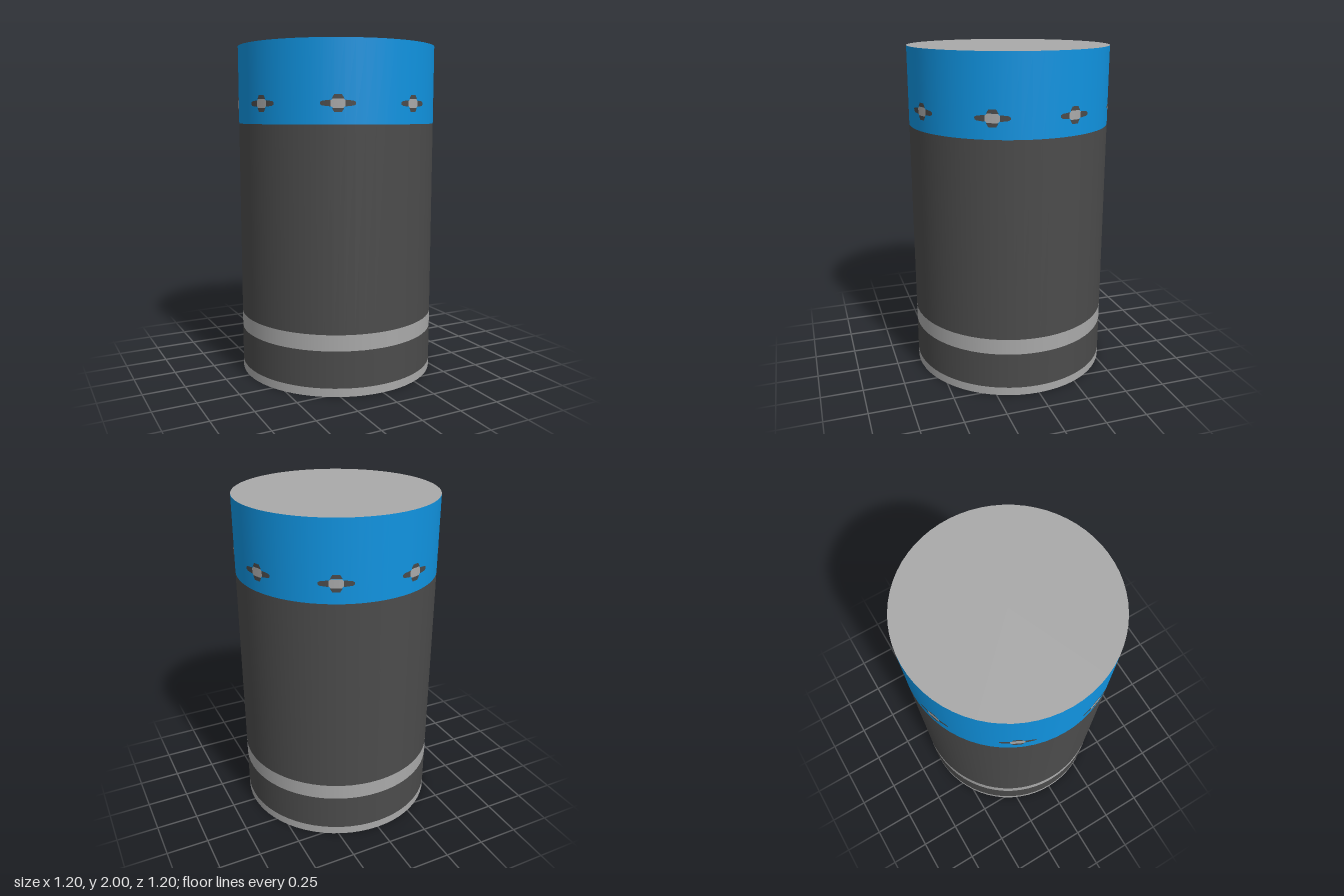
import * as THREE from 'three';

const R = 0.6;
const SEGMENTS = 64;

function material(name, color) {
  const m = new THREE.MeshStandardMaterial({ color, side: THREE.DoubleSide });
  m.name = name;
  return m;
}

// Flat outline wrapped onto the wall: u runs around it, v runs up it
function wrappedPlate(points, v0) {
  const shape = new THREE.Shape(points.map(([u, v]) => new THREE.Vector2(u, v)));
  const geometry = new THREE.ShapeGeometry(shape);
  const p = geometry.attributes.position;
  const n = geometry.attributes.normal;
  const r = R + 0.003;
  for (let i = 0; i < p.count; i++) {
    const a = p.getX(i) / R;
    p.setXYZ(i, r * Math.sin(a), v0 + p.getY(i), r * Math.cos(a));
    n.setXYZ(i, Math.sin(a), 0, Math.cos(a));
  }
  return geometry;
}

export function createModel() {
  const group = new THREE.Group();
  const blue = material('blue', 0x1093e0);
  const dark = material('dark grey', 0x4b4b4b);
  const light = material('light grey', 0xa9a9a9);

  const add = (parent, name, geometry, mat) => {
    const mesh = new THREE.Mesh(geometry, mat);
    mesh.name = name;
    parent.add(mesh);
    return mesh;
  };

  // Open tube wall, stacked from coloured bands
  const bands = [
    ['bottomRim', 0, 0.05, light],
    ['lowerWall', 0.05, 0.27, dark],
    ['lightBand', 0.27, 0.365, light],
    ['mainWall', 0.365, 1.54, dark],
    ['upperBand', 1.54, 2, blue],
  ];
  for (const [name, y0, y1, mat] of bands) {
    const wall = new THREE.CylinderGeometry(R, R, y1 - y0, SEGMENTS, 1, true);
    add(group, name, wall, mat).position.y = (y0 + y1) / 2;
  }

  // Closed top; the bottom stays open
  const cap = add(group, 'topCap', new THREE.CircleGeometry(R, SEGMENTS), light);
  cap.rotation.x = -Math.PI / 2;
  cap.position.y = 2;

  // Small fittings: light centre, dark side wings, dark upper and lower tabs
  const y = 1.655;
  const centre = wrappedPlate([
    [-0.028, -0.025], [0.028, -0.025], [0.04, -0.014], [0.04, 0.014],
    [0.028, 0.025], [-0.028, 0.025], [-0.04, 0.014], [-0.04, -0.014],
  ], y);
  const wing = wrappedPlate([
    [0.04, -0.018], [0.085, -0.013], [0.097, -0.006],
    [0.097, 0.006], [0.085, 0.013], [0.04, 0.018],
  ], y);
  const tab = wrappedPlate([
    [-0.034, 0.025], [0.034, 0.025], [0.02, 0.048], [-0.02, 0.048],
  ], y);
  const wingLeft = wing.clone().rotateZ(Math.PI).translate(0, 2 * y, 0);
  const tabLower = tab.clone().rotateZ(Math.PI).translate(0, 2 * y, 0);

  for (let i = 0; i < 8; i++) {
    const fitting = new THREE.Group();
    fitting.name = 'fitting' + (i + 1);
    add(fitting, 'fittingCentre', centre, light);
    add(fitting, 'rightWing', wing, dark);
    add(fitting, 'leftWing', wingLeft, dark);
    add(fitting, 'upperTab', tab, dark);
    add(fitting, 'lowerTab', tabLower, dark);
    fitting.rotation.y = THREE.MathUtils.degToRad(19 + 45 * i);
    group.add(fitting);
  }

  return group;
}
